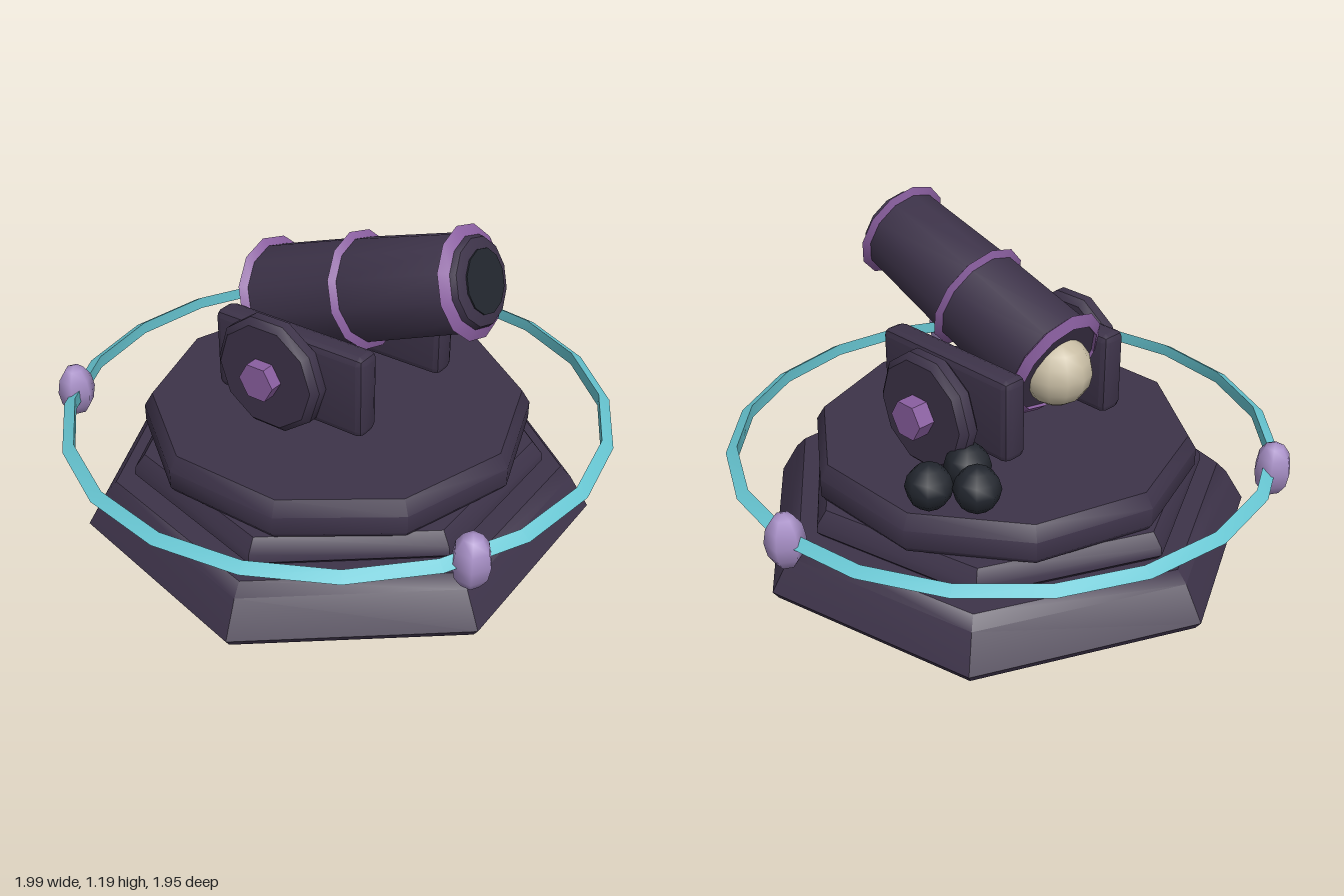
import * as THREE from 'three';
import { toCreasedNormals } from 'three/addons/utils/BufferGeometryUtils.js';
import { RoundedBoxGeometry } from 'three/addons/geometries/RoundedBoxGeometry.js';

const material = (name, color) => {
  const m = new THREE.MeshStandardMaterial({ color });
  m.name = name;
  return m;
};

export function createModel() {
  const darkPurple = material('dark purple', 0x3d3349);
  const purple = material('purple', 0x8a5fa0);
  const lilac = material('lilac', 0xa78fc6);
  const teal = material('teal', 0x66c4d0);
  const bone = material('bone', 0xc8bda4);
  const iron = material('iron', 0x23272f);

  const model = new THREE.Group();
  model.name = 'cannonOnPedestal';
  const body = new THREE.Group();
  body.name = 'body';
  body.position.x = -0.018;
  model.add(body);

  const add = (parent, name, geometry, mat, x = 0, y = 0, z = 0) => {
    const mesh = new THREE.Mesh(geometry, mat);
    mesh.name = name;
    mesh.position.set(x, y, z);
    parent.add(mesh);
    return mesh;
  };
  // Closed turned solid from [radius, height] pairs, bottom to top
  const turned = (profile, sides) => toCreasedNormals(
    new THREE.LatheGeometry(profile.map(([r, y]) => new THREE.Vector2(r, y)), sides), 0.7);
  // Faceted ring with a three-sided section, lying flat
  const ring = (radius, tube, sides) => toCreasedNormals(
    new THREE.TorusGeometry(radius, tube, 3, sides).rotateX(Math.PI / 2), 0.4);

  // Stepped pedestal, two seven-sided tiers and a ten-sided one
  const tiers = [
    ['lowerTier', 7, [[0, 0], [0.895, 0], [0.916, 0.03], [0.845, 0.15], [0.807, 0.19], [0, 0.19]]],
    ['middleTier', 7, [[0, 0.18], [0.72, 0.19], [0.74, 0.21], [0.735, 0.24], [0.7, 0.285], [0, 0.285]]],
    ['upperTier', 10, [[0, 0.28], [0.675, 0.285], [0.69, 0.305], [0.69, 0.37], [0.66, 0.42], [0, 0.42]]],
  ];
  for (const [name, sides, profile] of tiers) {
    add(body, name, turned(profile, sides).rotateY(Math.PI), darkPurple);
  }

  // Floating ring with three gems
  add(body, 'floatingRing', ring(0.95, 0.027, 20), teal, 0, 0.377, 0);
  const gem = new THREE.SphereGeometry(1, 6, 6).rotateY(Math.PI / 2).scale(0.067, 0.1, 0.067);
  for (let i = 0; i < 3; i++) {
    const a = (i * Math.PI * 2) / 3;
    add(body, 'ringGem', gem, lilac, 0.955 * Math.cos(a), 0.377, 0.955 * Math.sin(a));
  }

  // Barrel, tilted up towards the front; local y runs along the bore
  const barrel = new THREE.Group();
  barrel.name = 'barrel';
  barrel.position.set(0, 0.735, -0.245);
  barrel.rotation.x = THREE.MathUtils.degToRad(70);
  body.add(barrel);
  add(barrel, 'barrelTube', turned(
    [[0, -0.01], [0.185, -0.01], [0.178, 0.388], [0.16, 0.806], [0.142, 0.845], [0.108, 0.855], [0, 0.855]], 12), darkPurple);
  add(barrel, 'bore', new THREE.CylinderGeometry(0.105, 0.105, 0.008, 12), iron, 0, 0.856, 0);
  for (const [s, r] of [[0, 0.187], [0.388, 0.177], [0.806, 0.16]]) {
    add(barrel, 'barrelBand', ring(r, 0.026, 12), purple, 0, s, 0);
  }
  add(body, 'breechKnob', new THREE.SphereGeometry(0.122, 12, 8), bone, 0, 0.72, -0.256);

  // Carriage cheeks
  const cheek = toCreasedNormals(new RoundedBoxGeometry(0.097, 0.297, 0.604, 1, 0.025), 0.4);
  for (const side of [-1, 1]) add(body, 'carriageCheek', cheek, darkPurple, side * 0.241, 0.637, -0.003);

  // Wheels and hubs
  const wheel = turned(
    [[0, -0.039], [0.187, -0.039], [0.21, -0.018], [0.21, 0.018], [0.187, 0.039], [0, 0.039]], 10).rotateZ(Math.PI / 2);
  const hub = toCreasedNormals(new THREE.CylinderGeometry(0.069, 0.069, 0.17, 6), 0.4).rotateZ(Math.PI / 2);
  for (const [wheelX, hubX] of [[-0.308, -0.308], [0.391, 0.407]]) {
    add(body, 'wheel', wheel, darkPurple, wheelX, 0.637, -0.05);
    add(body, 'wheelHub', hub, purple, hubX, 0.637, -0.05);
  }

  // Pile of cannonballs
  const ball = new THREE.SphereGeometry(0.079, 8, 6);
  for (const [x, z] of [[0.467, -0.355], [0.392, -0.233], [0.563, -0.237]]) {
    add(body, 'cannonball', ball, iron, x, 0.506, z);
  }

  return model;
}
